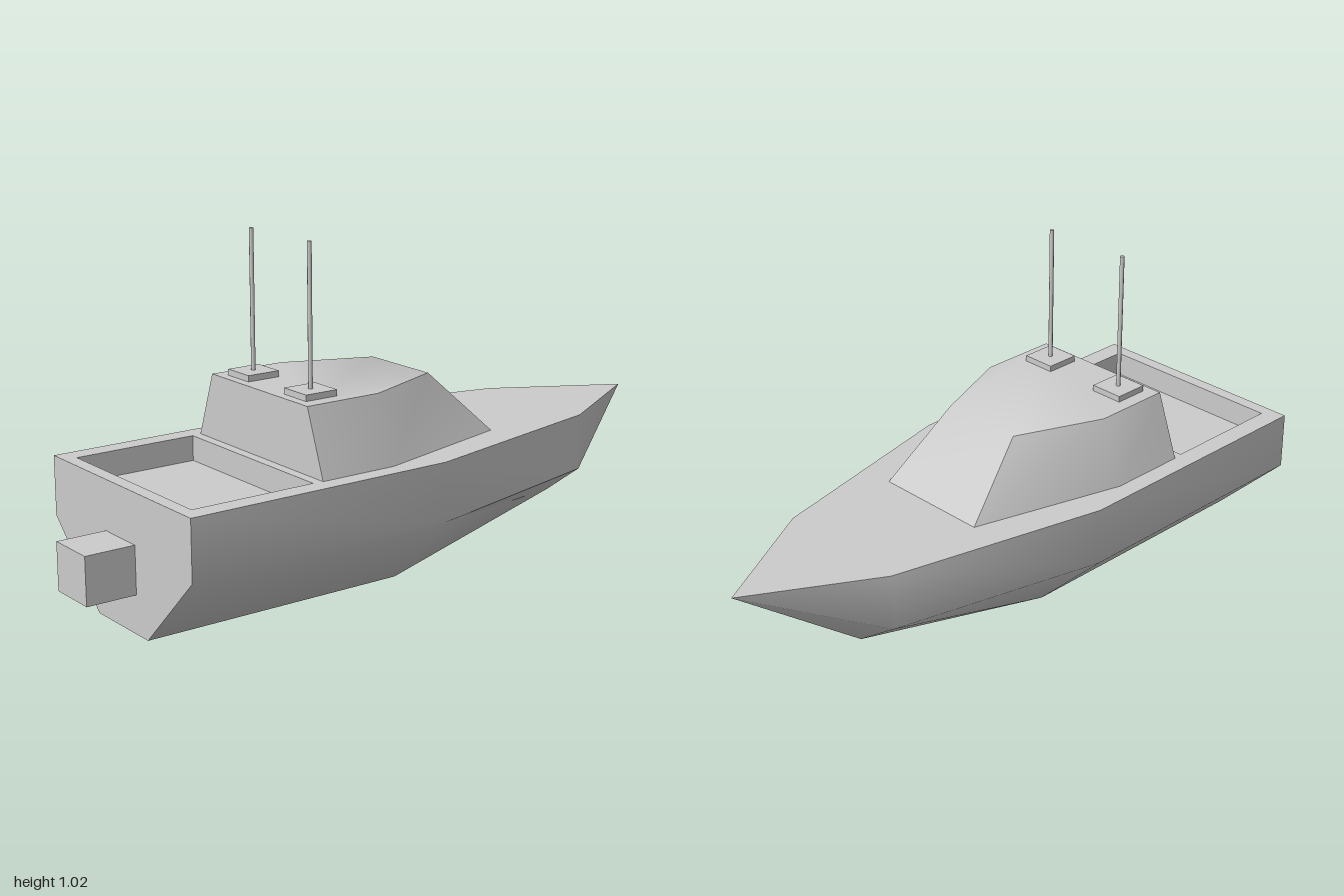
import * as THREE from 'three';
import { toCreasedNormals } from 'three/addons/utils/BufferGeometryUtils.js';

const CREASE = 0.87;
const material = new THREE.MeshStandardMaterial({ color: 0xcccccc });

function addMesh(parent, name, geometry, x = 0, y = 0, z = 0) {
  const mesh = new THREE.Mesh(geometry, material);
  mesh.name = name;
  mesh.position.set(x, y, z);
  parent.add(mesh);
  return mesh;
}

// Skin a series of cross-sections, each an array of Vector3
function loft(rings, { closed = false, capStart = false, capEnd = false } = {}) {
  const positions = [];
  const tri = (a, b, c) => {
    if (new THREE.Triangle(a, b, c).getArea() < 1e-7) return;
    for (const p of [a, b, c]) positions.push(p.x, p.y, p.z);
  };
  const n = rings[0].length;
  for (let i = 0; i < rings.length - 1; i++) {
    const r = rings[i], s = rings[i + 1];
    for (let j = 0; j < (closed ? n : n - 1); j++) {
      const k = (j + 1) % n;
      tri(r[j], r[k], s[k]);
      tri(r[j], s[k], s[j]);
    }
  }
  const first = rings[0], last = rings[rings.length - 1];
  for (let k = 1; k < n - 1; k++) {
    if (capStart) tri(first[0], first[k + 1], first[k]);
    if (capEnd) tri(last[0], last[k], last[k + 1]);
  }
  const geometry = new THREE.BufferGeometry();
  geometry.setAttribute('position', new THREE.Float32BufferAttribute(positions, 3));
  return toCreasedNormals(geometry, CREASE);
}

// Half outline on the left side, mirrored to the right
const mirror = (half) => [
  ...half,
  ...[...half].reverse().map((p) => new THREE.Vector3(-p.x, p.y, p.z)),
];
const level = (y, half) => mirror(half.map(([x, z]) => new THREE.Vector3(x, y, z)));

// Hull station: gunwale, chine and flat bottom
const station = (z, beam, chineY, bottom, bottomY) => mirror([
  new THREE.Vector3(beam, 0.4, z),
  new THREE.Vector3(beam, chineY, z),
  new THREE.Vector3(bottom, bottomY, z),
]);

export function createModel() {
  const boat = new THREE.Group();
  boat.name = 'boat';

  // Hull, from transom to pointed bow
  addMesh(boat, 'hull', loft([
    station(0.85, 0.36, 0.225, 0.13, 0),
    station(0.02, 0.36, 0.225, 0.13, 0),
    station(-0.63, 0.21, 0.23, 0.07, 0.13),
    station(-1, 0, 0.4, 0, 0.4),
  ], { capStart: true }));

  // Deck with the opening of the rear well
  const wellOutline = [[0.3, 0.81], [0.3, 0.43]];
  const flat = (ring) => ring.map((p) => new THREE.Vector2(p.x, -p.z));
  const deckShape = new THREE.Shape(
    flat(level(0, [[0.36, 0.85], [0.36, 0.02], [0.21, -0.63], [0, -1]]).filter((p, i) => i !== 4)));
  deckShape.holes.push(new THREE.Path(flat(level(0, wellOutline))));
  addMesh(boat, 'deck', new THREE.ShapeGeometry(deckShape).rotateX(-Math.PI / 2), 0, 0.4, 0);

  // Sunken well: inner walls and floor
  addMesh(boat, 'rearWell', loft(
    [level(0.4, wellOutline), level(0.325, wellOutline)], { closed: true, capEnd: true }));

  // Cabin with sloping sides and windscreen
  addMesh(boat, 'cabin', loft([
    level(0.4, [[0.305, 0.4], [0.305, 0.16], [0.18, -0.3]]),
    level(0.593, [[0.235, 0.4], [0.235, 0.16], [0.13, -0.1]]),
  ], { closed: true, capEnd: true }));

  // Pair of aerials on square plates
  for (const [side, x] of [['left', 0.138], ['right', -0.142]]) {
    const aerial = new THREE.Group();
    aerial.name = side + 'Aerial';
    aerial.position.set(x, 0.593, 0.32);
    addMesh(aerial, side + 'AerialBase', new THREE.BoxGeometry(0.104, 0.018, 0.104), 0, 0.009, 0);
    addMesh(aerial, side + 'AerialRod', new THREE.CylinderGeometry(0.0065, 0.0065, 0.41, 8), 0, 0.222, 0);
    boat.add(aerial);
  }

  // Outboard motor block on the transom
  addMesh(boat, 'motor', new THREE.BoxGeometry(0.154, 0.14, 0.15), 0, 0.183, 0.925);

  return boat;
}
